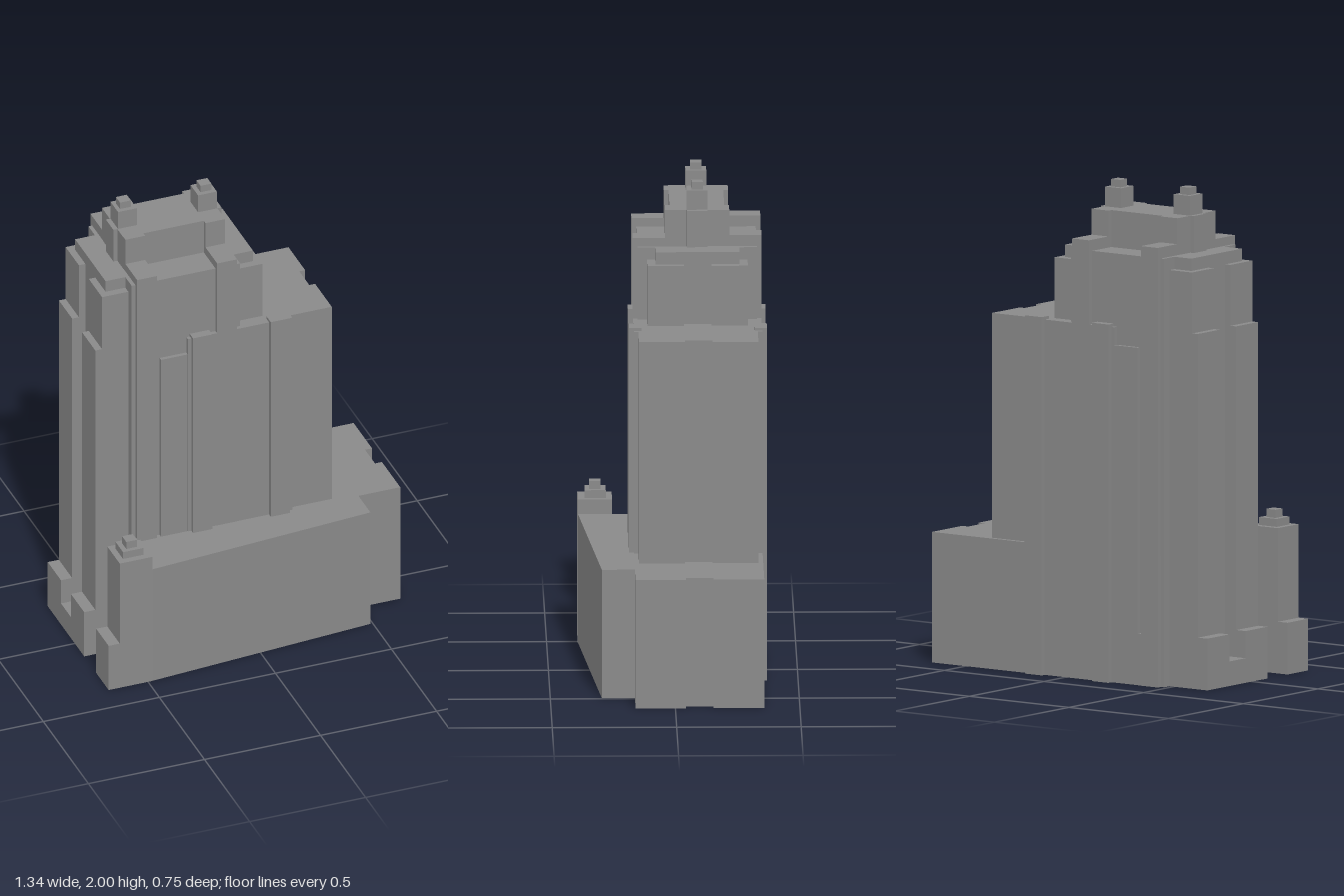
import * as THREE from 'three';

export function createModel() {
  const group = new THREE.Group();
  const material = new THREE.MeshStandardMaterial({ color: 0x898989, flatShading: true });
  const axis = -0.098; // z of the tower's centre plane

  function add(name, geometry) {
    const mesh = new THREE.Mesh(geometry, material);
    mesh.name = name;
    group.add(mesh);
  }
  // Box given by its limits
  function box(name, x0, x1, y0, y1, z0, z1) {
    const g = new THREE.BoxGeometry(x1 - x0, y1 - y0, z1 - z0);
    g.translate((x0 + x1) / 2, (y0 + y1) / 2, (z0 + z1) / 2);
    add(name, g);
  }
  // Box repeated on both sides of the centre plane
  function pair(name, x0, x1, y0, y1, z0, z1) {
    box(name + 'Front', x0, x1, y0, y1, z0, z1);
    box(name + 'Back', x0, x1, y0, y1, 2 * axis - z1, 2 * axis - z0);
  }
  // Upright prism over a plan outline of [x, z] points
  function prism(name, plan, y0, y1) {
    const shape = new THREE.Shape(plan.map(([x, z]) => new THREE.Vector2(x, -z)));
    const g = new THREE.ExtrudeGeometry(shape, { depth: y1 - y0, bevelEnabled: false });
    g.rotateX(-Math.PI / 2);
    g.translate(0, y0, 0);
    add(name, g);
  }

  // Podium with slanted front and a notch in its side
  prism('podium', [
    [-0.48, 0.374], [0.49, 0.293], [0.49, 0.16], [0.67, 0.16], [0.67, -0.043], [0.64, -0.043],
    [0.64, -0.153], [0.67, -0.153], [0.67, -0.357], [0.2, -0.357], [0.2, -0.337], [-0.48, -0.337],
  ], 0, 0.53);

  // Corner turret with stepped cap
  box('turretStep', -0.67, -0.48, 0, 0.21, 0.237, 0.375);
  box('turret', -0.622, -0.48, 0.21, 0.59, 0.237, 0.375);
  box('turretCap', -0.597, -0.509, 0.59, 0.622, 0.262, 0.347);
  box('turretFinial', -0.576, -0.53, 0.622, 0.655, 0.282, 0.329);

  // Tower shaft: tall core and lower wing with a notched end
  box('towerCore', -0.48, -0.013, 0.53, 1.74, -0.338, 0.142);
  prism('towerWing', [
    [-0.02, 0.142], [0.382, 0.142], [0.382, -0.043], [0.357, -0.043],
    [0.357, -0.153], [0.382, -0.153], [0.382, -0.338], [-0.02, -0.338],
  ], 0.53, 1.443);

  // End bays, stepping back as they rise
  box('endRecess', -0.565, -0.48, 0, 1.74, -0.267, 0.071);
  box('endRecessSill', -0.67, -0.56, 0, 0.1, -0.153, -0.043);
  pair('endStep', -0.67, -0.48, 0, 0.21, -0.043, 0.104);
  pair('endBay', -0.622, -0.48, 0.21, 1.443, -0.043, 0.104);
  pair('upperEndBay', -0.593, -0.48, 1.443, 1.69, -0.043, 0.104);
  box('upperBlock', -0.02, 0.07, 1.44, 1.74, -0.267, 0.071);
  pair('upperWingBay', -0.02, 0.098, 1.44, 1.69, -0.043, 0.104);

  // Long facades: layered panels and pilasters
  pair('facadePanel', -0.245, 0.205, 0, 1.443, 0.13, 0.16);
  pair('lowPanel', -0.36, -0.24, 0, 1.37, 0.13, 0.158);
  box('slotSill', -0.385, -0.355, 0, 0.21, -0.355, -0.33);
  for (const [x0, x1] of [[-0.23, -0.147], [0.105, 0.188]])
    pair('pilaster', x0, x1, 0, 1.455, 0.13, 0.179);

  // Crown: penthouse, corner piers and two finials
  box('penthouse', -0.465, -0.035, 1.74, 1.89, -0.208, 0.012);
  for (const side of [-1, 1]) {
    const at = (a, b) => [a, b].map((d) => -0.249 + side * d).sort((p, q) => p - q);
    const [x0, x1] = at(0.13, 0.215);
    box('pierFront', x0, x1, 0, 1.775, 0.031, 0.161);
    box('pierBack', x0, x1, 0, 1.785, -0.357, -0.227);
    box('penthouseEnd', x0, x1, 1.74, 1.89, -0.227, 0.031);
    box('finialPier', ...at(0.13, 0.233), 1.74, 1.89, -0.14, -0.056);
    box('finialBase', ...at(0.132, 0.213), 1.89, 1.97, -0.14, -0.056);
    box('finialTop', ...at(0.15, 0.197), 1.97, 2, -0.121, -0.075);
  }
  return group;
}
